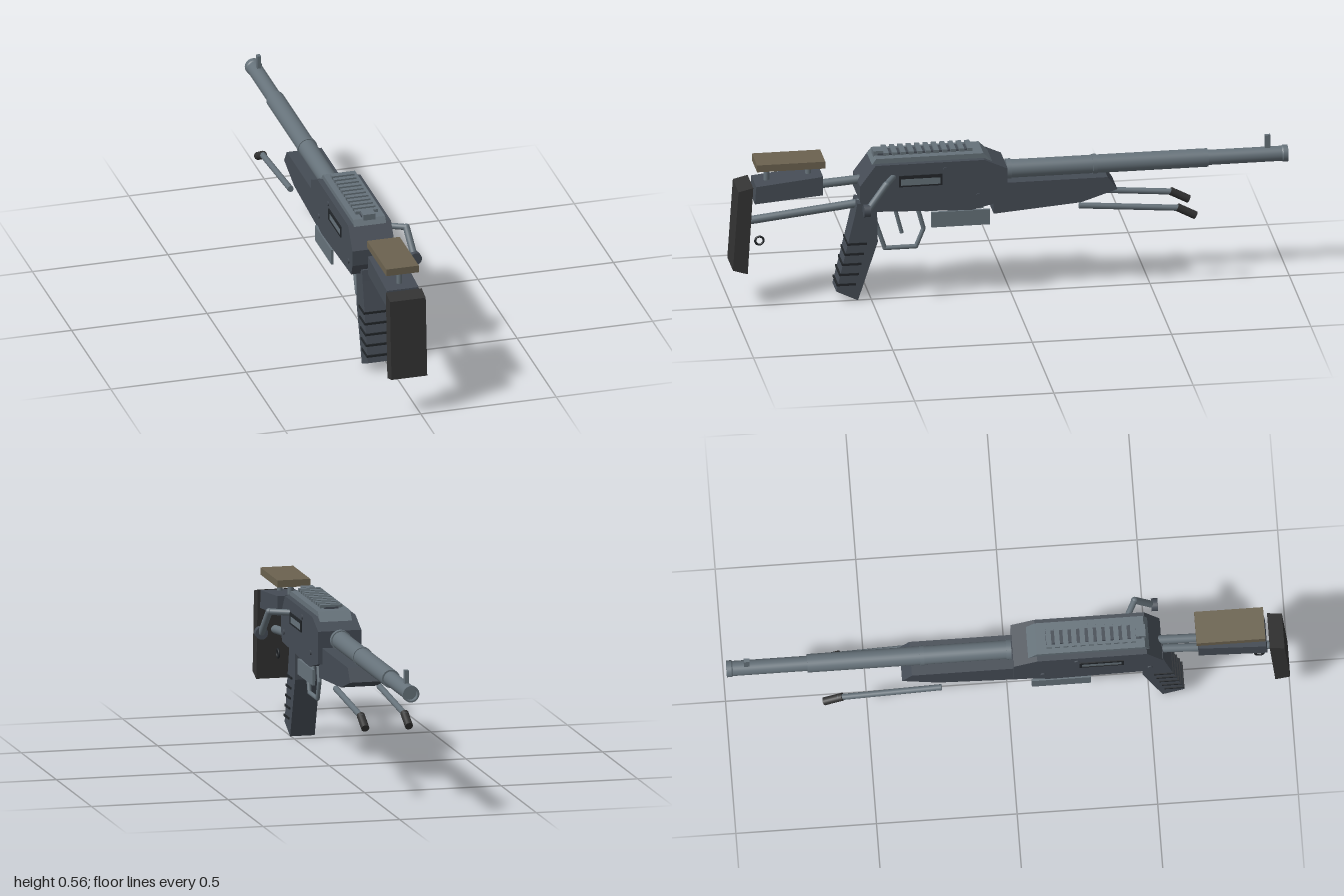
import * as THREE from 'three';

const CX = -0.042; // centre plane of the body
const mat = (color) => new THREE.MeshStandardMaterial({ color });
const steel = mat(0x66727a), slate = mat(0x454c55), dark = mat(0x333333), black = mat(0x22262a), tan = mat(0x6b624f);

export function createModel() {
  const group = new THREE.Group();

  const add = (name, geometry, material) => {
    const mesh = new THREE.Mesh(geometry, material);
    mesh.name = name;
    group.add(mesh);
    return mesh;
  };

  // side profile given as [z, y] points, extruded across x
  const slab = (name, pts, width, material, x = CX, hole) => {
    const shape = new THREE.Shape(pts.map(([z, y]) => new THREE.Vector2(z, y)));
    if (hole) shape.holes.push(new THREE.Path(hole.map(([z, y]) => new THREE.Vector2(z, y))));
    const g = new THREE.ExtrudeGeometry(shape, { depth: width, bevelEnabled: false });
    g.translate(0, 0, -width / 2).rotateY(-Math.PI / 2).translate(x, 0, 0);
    return add(name, g, material);
  };

  const box = (name, w, h, d, x, y, z, material) =>
    add(name, new THREE.BoxGeometry(w, h, d).translate(x, y, z), material);

  // cylinder between two points
  const rod = (name, a, b, r, material, sides = 20) => {
    const p = new THREE.Vector3(...a), q = new THREE.Vector3(...b);
    const dir = q.clone().sub(p);
    const mesh = add(name, new THREE.CylinderGeometry(r, r, dir.length(), sides), material);
    mesh.position.copy(p).add(q).multiplyScalar(0.5);
    mesh.quaternion.setFromUnitVectors(new THREE.Vector3(0, 1, 0), dir.normalize());
    return mesh;
  };

  const rect = (z0, z1, y0, y1) => [[z0, y0], [z1, y0], [z1, y1], [z0, y1]];

  // receiver
  slab('receiver', [[0.49, 0.523], [0.1, 0.523], [0.016, 0.485], [0.016, 0.367], [0.145, 0.335],
    [0.53, 0.35], [0.546, 0.39], [0.546, 0.447]], 0.158, slate);
  slab('topPlate', [[0.5, 0.52], [0.485, 0.541], [0.1, 0.541], [0.065, 0.505]], 0.118, steel);

  // top rail with cross teeth and rear sight
  box('railBase', 0.05, 0.012, 0.34, CX, 0.542, 0.305, slate);
  for (let i = 0; i < 11; i++) box('railTooth', 0.082, 0.011, 0.018, CX, 0.5505, 0.145 + i * 0.03, steel);
  box('rearSight', 0.045, 0.024, 0.035, CX, 0.545, 0.472, steel);

  // port frames, bolt bar and pins on both sides
  slab('portFrame', rect(0.25, 0.407, 0.438, 0.48), 0.166, black, CX, rect(0.258, 0.399, 0.443, 0.468));
  box('boltBar', 0.162, 0.025, 0.141, CX, 0.4555, 0.3285, steel);
  for (const [z, y] of [[0.24, 0.495], [0.12, 0.39], [0.5, 0.39]])
    rod('pin', [CX - 0.084, y, z], [CX + 0.084, y, z], 0.009, slate, 12);

  // side plates below the receiver
  for (const s of [-1, 1]) box('lowerPlate', 0.009, 0.057, 0.21, CX + s * 0.079, 0.307, 0.185, steel);

  // forend
  slab('forend', [[0.064, 0.31], [-0.25, 0.335], [-0.38, 0.377], [-0.345, 0.425], [0.03, 0.425], [0.064, 0.36]],
    0.128, slate);

  // barrel turned from a profile, with a hollow muzzle
  const profile = [[0, 0], [0.037, 0], [0.037, 0.018], [0.033, 0.018], [0.033, 0.31], [0.036, 0.31], [0.036, 0.325],
    [0.033, 0.325], [0.033, 0.725], [0.027, 0.725], [0.027, 0.99], [0.03, 0.995], [0.03, 1.012], [0.024, 1.012],
    [0.024, 0.99], [0, 0.99]];
  const pts = profile.flatMap(([r, l]) => [new THREE.Vector2(r, l), new THREE.Vector2(r, l)]);
  add('barrel', new THREE.LatheGeometry(pts, 32).rotateX(-Math.PI / 2).translate(CX, 0.453, 0.012), steel);
  box('frontSight', 0.014, 0.05, 0.02, CX, 0.502, -0.928, steel);

  // bipod legs and feet
  for (const s of [-1, 1]) {
    const x = CX + s * 0.08;
    rod('bipodLeg', [x, 0.33, -0.24], [x, 0.298, -0.61], 0.011, steel);
    rod('bipodFoot', [x, 0.302, -0.592], [x, 0.267, -0.658], 0.0145, dark);
  }

  // pistol grip with side ridges
  slab('grip', [[0.626, 0.04], [0.548, 0.002], [0.477, 0.22], [0.48, 0.36], [0.55, 0.37], [0.558, 0.33]], 0.09, slate);
  for (let i = 0; i < 5; i++) {
    const y = 0.065 + i * 0.038;
    box('gripRidge', 0.098, 0.008, 0.07, CX, y, 0.59 - i * 0.0095, black);
  }

  // trigger guard and trigger
  const guard = [[0.485, 0.3], [0.445, 0.178], [0.333, 0.178], [0.306, 0.245], [0.333, 0.345]];
  for (let i = 0; i < guard.length - 1; i++) {
    const [a, b] = [guard[i], guard[i + 1]];
    rod('triggerGuard', [CX, a[1], a[0]], [CX, b[1], b[0]], 0.008, steel, 12);
    add('guardJoint', new THREE.SphereGeometry(0.008, 12, 8).translate(CX, b[1], b[0]), steel);
  }
  rod('trigger', [CX, 0.35, 0.415], [CX, 0.232, 0.384], 0.007, steel, 12);

  // charging handle on the left side
  const elbow = [0.102, 0.475, 0.462];
  rod('handleArm', [0.02, 0.475, 0.42], elbow, 0.011, steel);
  add('handleElbow', new THREE.SphereGeometry(0.0125, 16, 12).translate(...elbow), steel);
  rod('handleStem', elbow, [0.113, 0.385, 0.53], 0.0125, steel);
  rod('handleKnob', [0.113, 0.385, 0.522], [0.113, 0.385, 0.545], 0.023, slate, 24);

  // stock rods, comb block, cheek rest and butt
  rod('upperStockRod', [CX, 0.447, 0.52], [CX, 0.433, 0.72], 0.016, steel);
  rod('lowerStockRod', [CX, 0.36, 0.5], [CX, 0.311, 0.945], 0.015, steel);
  slab('combBlock', [[0.915, 0.46], [0.92, 0.395], [0.675, 0.415], [0.675, 0.485]], 0.118, slate);
  for (const z of [0.72, 0.87]) rod('cheekPost', [CX, 0.455, z], [CX, 0.52, z], 0.0105, steel);
  box('cheekRest', 0.12, 0.026, 0.245, CX, 0.53, 0.79, tan);
  slab('buttPad', [[0.98, 0.447], [1.0, 0.15], [0.947, 0.133], [0.927, 0.46]], 0.132, dark);

  // sling ring
  add('slingRing', new THREE.TorusGeometry(0.015, 0.004, 8, 20).rotateY(Math.PI / 2).translate(CX, 0.233, 0.895), black);

  return group;
}
